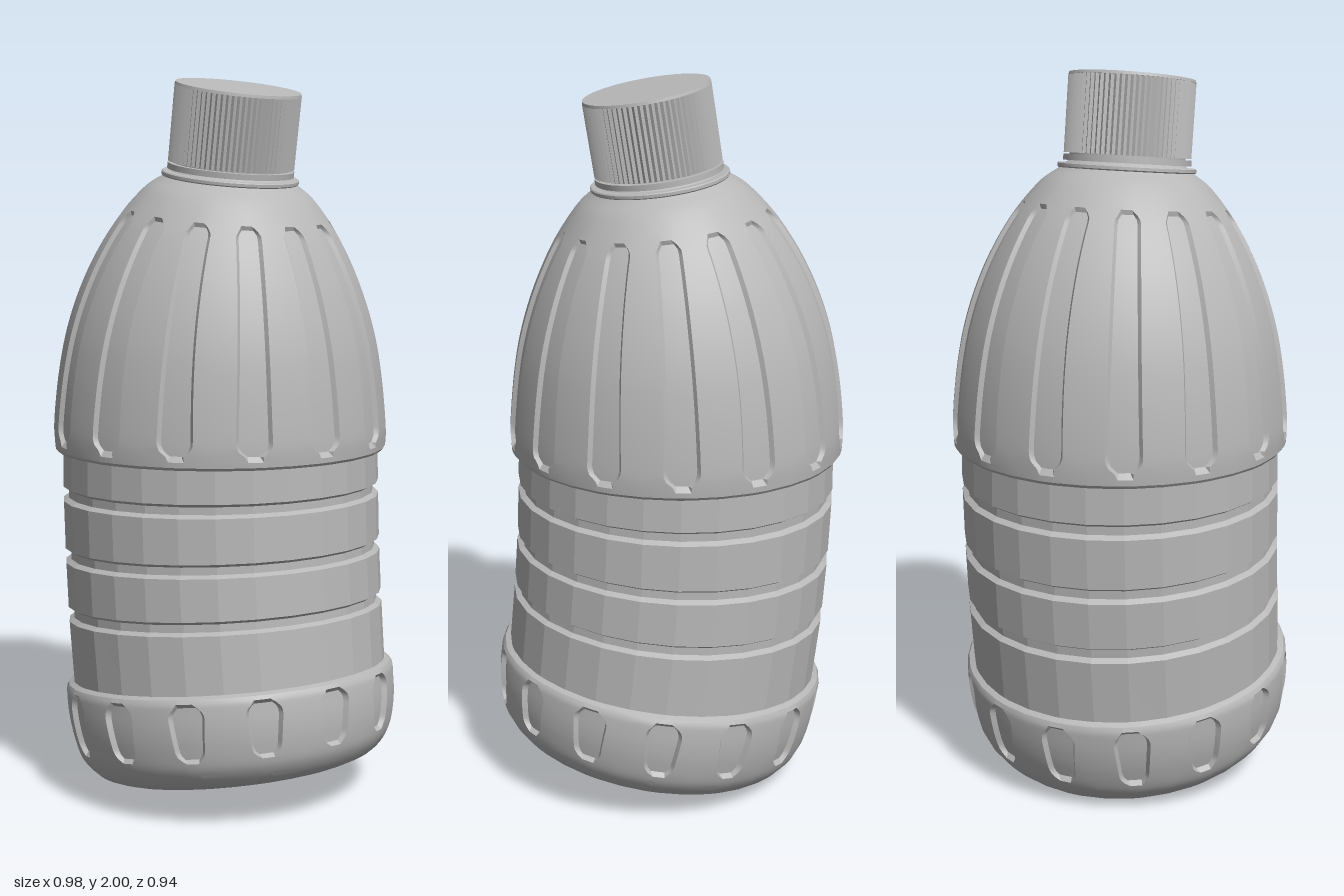
import * as THREE from 'three';
import { toCreasedNormals } from 'three/addons/utils/BufferGeometryUtils.js';

// The whole bottle is bent along a gentle arc, leaning at both ends
const BEND = 5.4, MID = 0.958;
function bend(x, h, z) {
  const t = (h - MID) / BEND;
  return [-0.023 + BEND - (BEND - x) * Math.cos(t), 1.016 + (BEND - x) * Math.sin(t), z];
}

// Skin a grid of rings: ring(row) returns [angle, radius, height] for each column.
// Rows run from the bottom centre outwards, up, and back in at the top.
function skin(rows, ring, crease) {
  const pos = [], index = [];
  const rings = rows.map(ring), n = rings[0].length;
  rings.forEach(pts => pts.forEach(([a, r, h]) =>
    pos.push(...bend(r * Math.cos(a), h, r * Math.sin(a)))));
  for (let i = 0; i < rings.length - 1; i++) {
    for (let j = 0; j < n; j++) {
      const k = (j + 1) % n, a = i * n + j, b = a + n, c = (i + 1) * n + k, d = i * n + k;
      if (rings[i + 1][j][1] > 0) index.push(a, b, c);
      if (rings[i][j][1] > 0) index.push(a, c, d);
    }
  }
  const g = new THREE.BufferGeometry();
  g.setAttribute('position', new THREE.Float32BufferAttribute(pos, 3));
  g.setIndex(index);
  return toCreasedNormals(g, crease);
}

// Plain round ring
const round = sides => ([r, h]) =>
  Array.from({ length: sides }, (_, j) => [j / sides * Math.PI * 2, r, h]);

// Ring with recessed flutes; spec(r, h) gives half width and depth (inwards and upwards)
const fluted = (count, spec) => ([r, h]) => {
  const out = [], half = Math.PI / count;
  const { w, inward = 0, up = 0 } = spec(r, h);
  const inner = Math.min(w / Math.max(r, 0.001), half * 0.5);
  const outer = Math.min((w + 0.008) / Math.max(r, 0.001), half * 0.8);
  for (let i = 0; i < count; i++) {
    const a = i * 2 * half;
    for (const [o, on] of [[-half, 0], [-outer, 0], [-inner, 1], [0, 1], [inner, 1], [outer, 0]])
      out.push([a + o, r - on * inward, h + on * up]);
  }
  return out;
};

// Flute with rounded ends, from height h0 (half width w0) to h1 (half width w1)
const fluteSpec = (h0, w0, h1, w1, depth) => (r, h) => {
  const t = THREE.MathUtils.clamp((h - h0) / (h1 - h0), 0, 1);
  const W = w0 + (w1 - w0) * t;
  const e = THREE.MathUtils.clamp(Math.min(h - h0, h1 - h) / W, 0, 1);
  return { w: W * Math.max(0.4, Math.sqrt(1 - (1 - e) ** 2)), inward: e > 0 ? depth : 0 };
};

const smooth = (pts, n) =>
  new THREE.SplineCurve(pts.map(p => new THREE.Vector2(...p))).getSpacedPoints(n).map(p => [p.x, p.y]);

export function createModel() {
  const group = new THREE.Group();
  const grey = new THREE.MeshStandardMaterial({ color: 0xb8b8b8 });
  grey.name = 'grey';
  const add = (name, geometry) => {
    const mesh = new THREE.Mesh(geometry, grey);
    mesh.name = name;
    group.add(mesh);
  };

  // Hollow underside with radial creases
  const dome = [[0, 0.12], [0.03, 0.12], [0.05, 0.115], [0.15, 0.09], [0.23, 0.055],
    [0.275, 0.025], [0.31, 0.004], [0.335, 0], [0.355, 0]];
  add('hollowUnderside', skin(dome, fluted(7, r => ({
    w: 0.008, up: r > 0.04 && r < 0.34 ? 0.01 : 0 })), 0.5));

  // Rounded foot with short flutes
  const foot = [
    ...smooth([[0.355, 0], [0.4, 0.02], [0.44, 0.068], [0.458, 0.13], [0.466, 0.19], [0.467, 0.25]], 26),
    [0.466, 0.262], [0.46, 0.273], [0.445, 0.28]];
  add('foot', skin(foot, fluted(14, fluteSpec(0.095, 0.03, 0.258, 0.046, 0.014)), 0.5));

  // Faceted wall with three pressed grooves
  const wall = [[0.445, 0.275]];
  for (const g of [0.467, 0.628, 0.797])
    wall.push([0.447, g - 0.02], [0.432, g - 0.011], [0.432, g + 0.011], [0.447, g + 0.02]);
  wall.push([0.445, 0.92]);
  add('wall', skin(wall, round(28), 0.1));

  // Domed shoulder with long tapering flutes
  const shoulder = [[0.44, 0.913], [0.46, 0.914],
    ...smooth([[0.466, 0.922], [0.468, 0.965], [0.463, 1.04], [0.451, 1.14], [0.432, 1.24],
      [0.402, 1.34], [0.36, 1.44], [0.303, 1.54], [0.235, 1.625], [0.185, 1.663], [0.158, 1.685]], 56)];
  add('shoulder', skin(shoulder, fluted(14, fluteSpec(0.95, 0.042, 1.565, 0.026, 0.012)), 0.5));

  // Neck, support ring and tamper band
  add('neck', skin([[0.158, 1.65], [0.158, 1.71]], round(48), 0.5));
  add('neckRing', skin([[0.15, 1.664], [0.187, 1.664], [0.19, 1.667], [0.19, 1.675],
    [0.187, 1.678], [0.15, 1.678]], round(48), 0.5));
  add('tamperBand', skin([[0.15, 1.684], [0.175, 1.684], [0.175, 1.7], [0.15, 1.7]], round(48), 0.5));

  // Screw cap with ribbed grip
  const ribs = 72;
  const cap = [[0.15, 1.704], [0.174, 1.704, 1], [0.174, 1.908, 1], [0.174, 1.908], [0.172, 1.916], [0, 1.916]];
  add('cap', skin(cap, ([r, h, ribbed]) => Array.from({ length: ribs * 2 }, (_, j) =>
    [j / ribs * Math.PI, r - (ribbed && j % 2 ? 0.006 : 0), h]), 0.3));

  return group;
}
